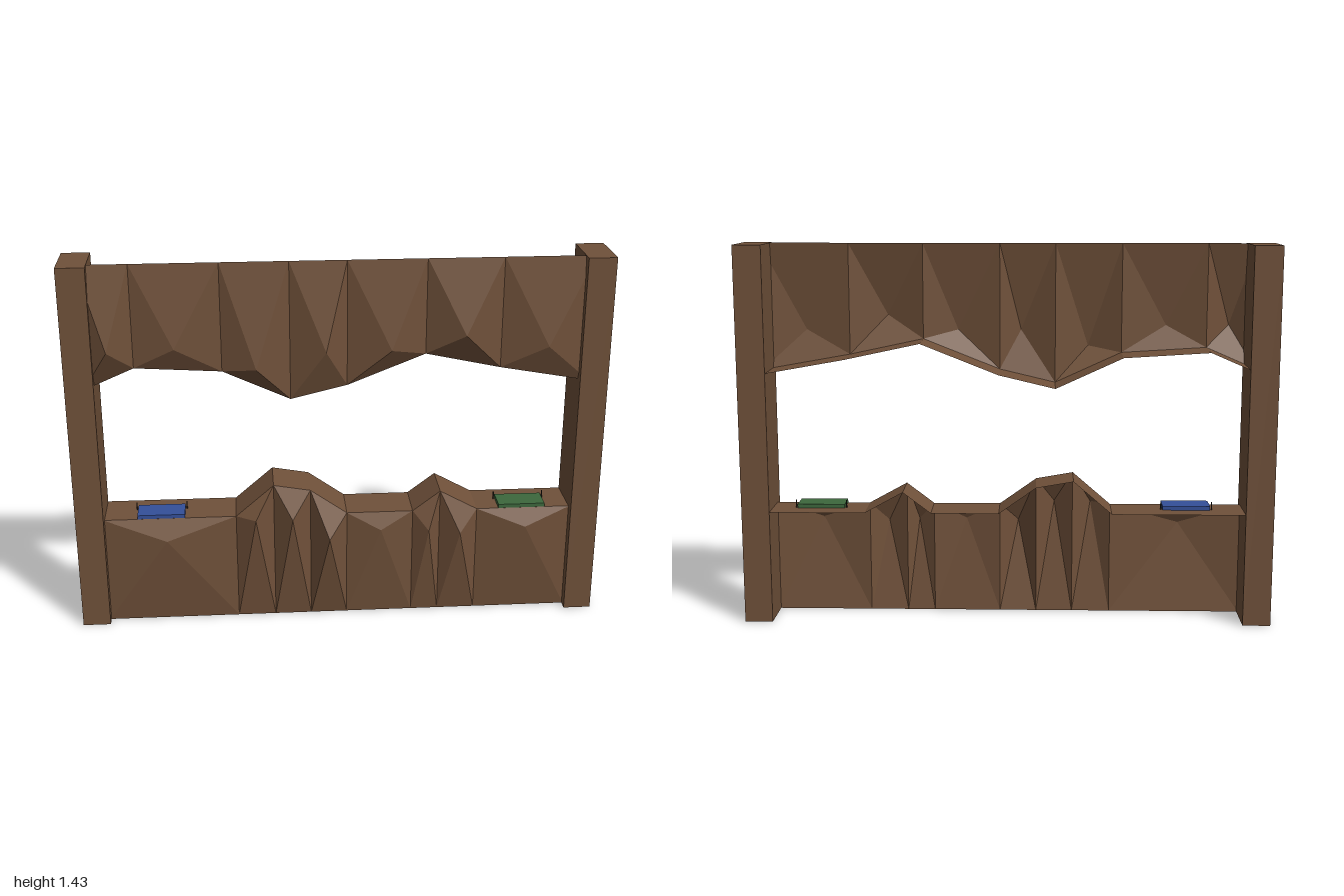
import * as THREE from 'three';

const FRONT = 0.05, BACK = -0.12;

// Open shell: each wall panel fans out from a bulging centre point, and a ledge runs back from its edge
function rockShell(name, edge, centres, baseY, material) {
  const group = new THREE.Group();
  group.name = name;
  const wall = [], ledge = [];
  const up = baseY < edge[0][1];
  centres.forEach((c, i) => {
    const [x0, y0] = edge[i], [x1, y1] = edge[i + 1];
    const a = [x0, up ? baseY : y0, FRONT], b = [x1, up ? baseY : y1, FRONT];
    const d = [x1, up ? y1 : baseY, FRONT], e = [x0, up ? y0 : baseY, FRONT];
    for (const [p, q] of [[a, b], [b, d], [d, e], [e, a]]) wall.push(...p, ...q, ...c);
    const f0 = [x0, y0, FRONT], f1 = [x1, y1, FRONT], k0 = [x0, y0, BACK], k1 = [x1, y1, BACK];
    if (up) ledge.push(...f0, ...f1, ...k1, ...f0, ...k1, ...k0);
    else ledge.push(...f0, ...k1, ...f1, ...f0, ...k0, ...k1);
  });
  for (const [part, points] of [['Wall', wall], ['Ledge', ledge]]) {
    const geometry = new THREE.BufferGeometry();
    geometry.setAttribute('position', new THREE.Float32BufferAttribute(points, 3));
    geometry.computeVertexNormals();
    const mesh = new THREE.Mesh(geometry, material);
    mesh.name = name + part;
    group.add(mesh);
  }
  return group;
}

function box(name, size, position, material) {
  const mesh = new THREE.Mesh(new THREE.BoxGeometry(...size), material);
  mesh.name = name;
  mesh.position.set(...position);
  return mesh;
}

function mat(name, color) {
  const material = new THREE.MeshStandardMaterial({ color });
  material.name = name;
  return material;
}

export function createModel() {
  const model = new THREE.Group();
  model.name = 'caveArena';
  const rock = mat('brown rock', 0x70513a);
  rock.side = THREE.DoubleSide;
  rock.flatShading = true;
  const blue = mat('blue', 0x34509a);
  const green = mat('green', 0x3d683d);
  const dark = mat('dark marker', 0x2a2420);

  // Side posts
  for (const s of [-1, 1]) {
    model.add(box(s > 0 ? 'leftPost' : 'rightPost', [0.105, 1.43, 0.21], [s * 0.9475, 0.715, -0.015], rock));
  }

  // Hanging ceiling
  model.add(rockShell('ceiling',
    [[-0.935, 0.96], [-0.75, 1.04], [-0.43, 1.02], [-0.18, 0.905], [0.03, 0.955],
      [0.32, 1.07], [0.6, 1.01], [0.935, 0.95]],
    [[-0.84, 1.12, 0.115], [-0.6, 1.12, 0.09], [-0.305, 1.04, 0.105], [-0.05, 1.1, 0.105],
      [0.19, 1.1, 0.1], [0.46, 1.155, 0.115], [0.77, 1.1, 0.095]],
    1.43, rock));

  // Floor with two hills
  model.add(rockShell('floor',
    [[-0.9, 0.43], [-0.395, 0.43], [-0.25, 0.555], [-0.11, 0.53], [0.03, 0.43],
      [0.285, 0.43], [0.39, 0.51], [0.535, 0.43], [0.9, 0.43]],
    [[-0.66, 0.35, 0.09], [-0.32, 0.43, 0.1], [-0.18, 0.43, 0.105], [-0.04, 0.35, 0.122],
      [0.16, 0.365, 0.08], [0.345, 0.36, 0.09], [0.465, 0.35, 0.1], [0.72, 0.365, 0.09]],
    0, rock));

  // Start pads with a small marker at each rear corner
  for (const [name, x, material] of [['bluePad', -0.68, blue], ['greenPad', 0.71, green]]) {
    model.add(box(name, [0.18, 0.018, 0.095], [x, 0.436, 0.002], material));
    for (const s of [-1, 1]) {
      model.add(box(name + 'Marker', [0.004, 0.03, 0.004], [x + s * 0.096, 0.445, -0.035], dark));
    }
  }
  return model;
}
